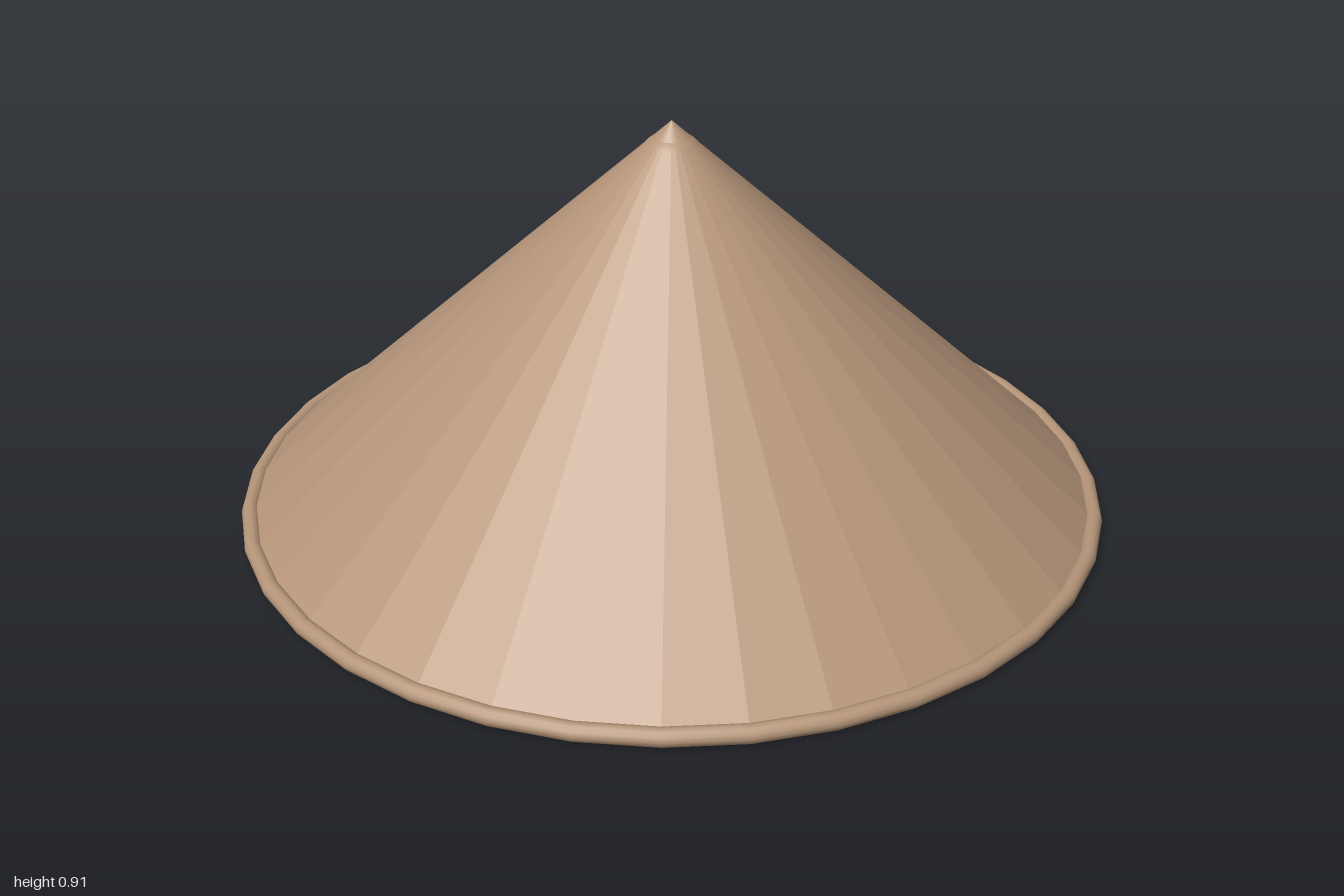
import * as THREE from 'three';

const SIDES = 36;
const RIM_RADIUS = 0.98;
const RIM_TUBE = 0.02;
const APEX = 0.915;
const TIP_RADIUS = 0.08;

export function createModel() {
  const hat = new THREE.Group();
  hat.name = 'conicalHat';

  const straw = new THREE.MeshStandardMaterial({ color: 0xb59579 });
  straw.name = 'straw';

  const add = (name, geometry, y) => {
    const mesh = new THREE.Mesh(geometry, straw);
    mesh.name = name;
    mesh.position.y = y;
    hat.add(mesh);
    return mesh;
  };

  // Outer cone, faceted
  const height = APEX - RIM_TUBE;
  const outer = new THREE.ConeGeometry(RIM_RADIUS, height, SIDES, 1, true).toNonIndexed();
  outer.computeVertexNormals();
  add('outerCone', outer, RIM_TUBE + height / 2);

  // Smooth lining just inside, profile run from top to bottom so it faces inwards
  const lining = new THREE.LatheGeometry([
    new THREE.Vector2(0.001, APEX - 0.012),
    new THREE.Vector2(RIM_RADIUS - 0.01, RIM_TUBE),
  ], SIDES);
  add('lining', lining, 0);

  // Rounded tip, meeting the cone where the slopes match
  const slope = Math.atan2(height, RIM_RADIUS);
  const tip = new THREE.SphereGeometry(TIP_RADIUS, SIDES, 8, 0, Math.PI * 2, 0, slope + 0.08);
  add('tip', tip, APEX - TIP_RADIUS / Math.cos(slope) + 0.002);

  // Rolled rim
  const rim = new THREE.TorusGeometry(RIM_RADIUS, RIM_TUBE, 12, SIDES);
  rim.rotateX(Math.PI / 2);
  add('rim', rim, RIM_TUBE);

  return hat;
}
